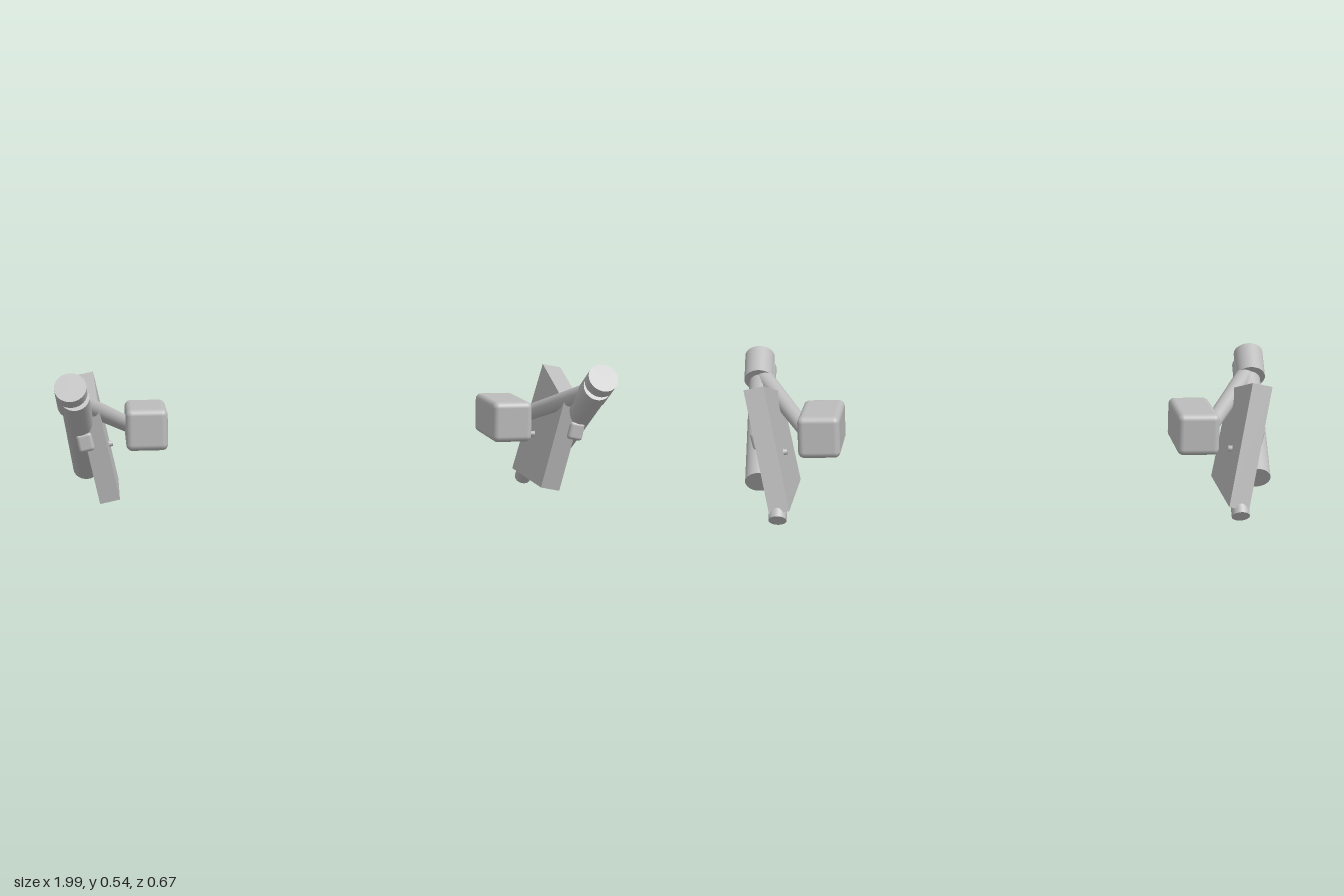
import * as THREE from 'three';
import { RoundedBoxGeometry } from 'three/addons/geometries/RoundedBoxGeometry.js';

const grey = new THREE.MeshStandardMaterial({ color: 0xbcbcbc });
grey.name = 'plain grey';

function add(parent, name, geometry, x = 0, y = 0, z = 0) {
  const mesh = new THREE.Mesh(geometry, grey);
  mesh.name = name;
  mesh.position.set(x, y, z);
  parent.add(mesh);
  return mesh;
}

// Cylinder between two points given as [x, y, z]; s mirrors x
function rod(parent, name, s, a, b, rA, rB = rA) {
  const p = new THREE.Vector3(s * a[0], a[1], a[2]);
  const q = new THREE.Vector3(s * b[0], b[1], b[2]);
  const dir = q.clone().sub(p);
  const mesh = add(parent, name, new THREE.CylinderGeometry(rB, rA, dir.length(), 32));
  mesh.position.copy(p).add(q).multiplyScalar(0.5);
  mesh.quaternion.setFromUnitVectors(new THREE.Vector3(0, 1, 0), dir.normalize());
}

// Four-sided slab, outline drawn as (-z, y) and centred on its thickness
function panelGeometry() {
  const thickness = 0.072;
  const outline = [[-0.097, 0], [0.315, 0], [0.212, 0.436], [-0.147, 0.334]];
  const shape = new THREE.Shape(outline.map(([u, v]) => new THREE.Vector2(u, v)));
  const g = new THREE.ExtrudeGeometry(shape, { depth: thickness, bevelEnabled: false });
  g.translate(0, 0, -thickness / 2);
  g.rotateY(Math.PI / 2);
  return g;
}

function createSide(s) {
  const side = new THREE.Group();
  side.name = s > 0 ? 'leftAssembly' : 'rightAssembly';

  // Leaning panel with a bar set into its outer face
  const lean = new THREE.Group();
  lean.name = 'leaningPanel';
  lean.position.set(s * 0.8125, 0.053, 0);
  lean.rotation.z = -s * 0.2;
  side.add(lean);
  add(lean, 'panel', panelGeometry());
  add(lean, 'outerBar', new RoundedBoxGeometry(0.056, 0.066, 0.307, 3, 0.012), s * 0.036, 0.235, -0.0065);

  // Sloping tube, its end cap and the arm reaching inward
  rod(side, 'mainTube', s, [0.895, 0.132, -0.188], [0.925, 0.454, 0.277], 0.05);
  rod(side, 'endCap', s, [0.932, 0.421, 0.199], [0.939, 0.493, 0.303], 0.055);
  rod(side, 'innerArm', s, [0.72, 0.29, -0.12], [0.92, 0.434, 0.215], 0.028, 0.034);

  // Rounded block at the end of the arm
  add(side, 'innerBlock', new RoundedBoxGeometry(0.15, 0.15, 0.3, 4, 0.022), s * 0.675, 0.302, -0.085);

  // Knob on the low rear corner and a stud on the inner face
  rod(side, 'cornerKnob', s, [0.82, 0.087, -0.25], [0.82, 0.025, -0.312], 0.032);
  rod(side, 'innerStud', s, [0.83, 0.225, -0.13], [0.797, 0.228, -0.13], 0.016, 0.009);
  return side;
}

export function createModel() {
  const model = new THREE.Group();
  model.name = 'mirroredPair';
  for (const s of [1, -1]) model.add(createSide(s));
  return model;
}
